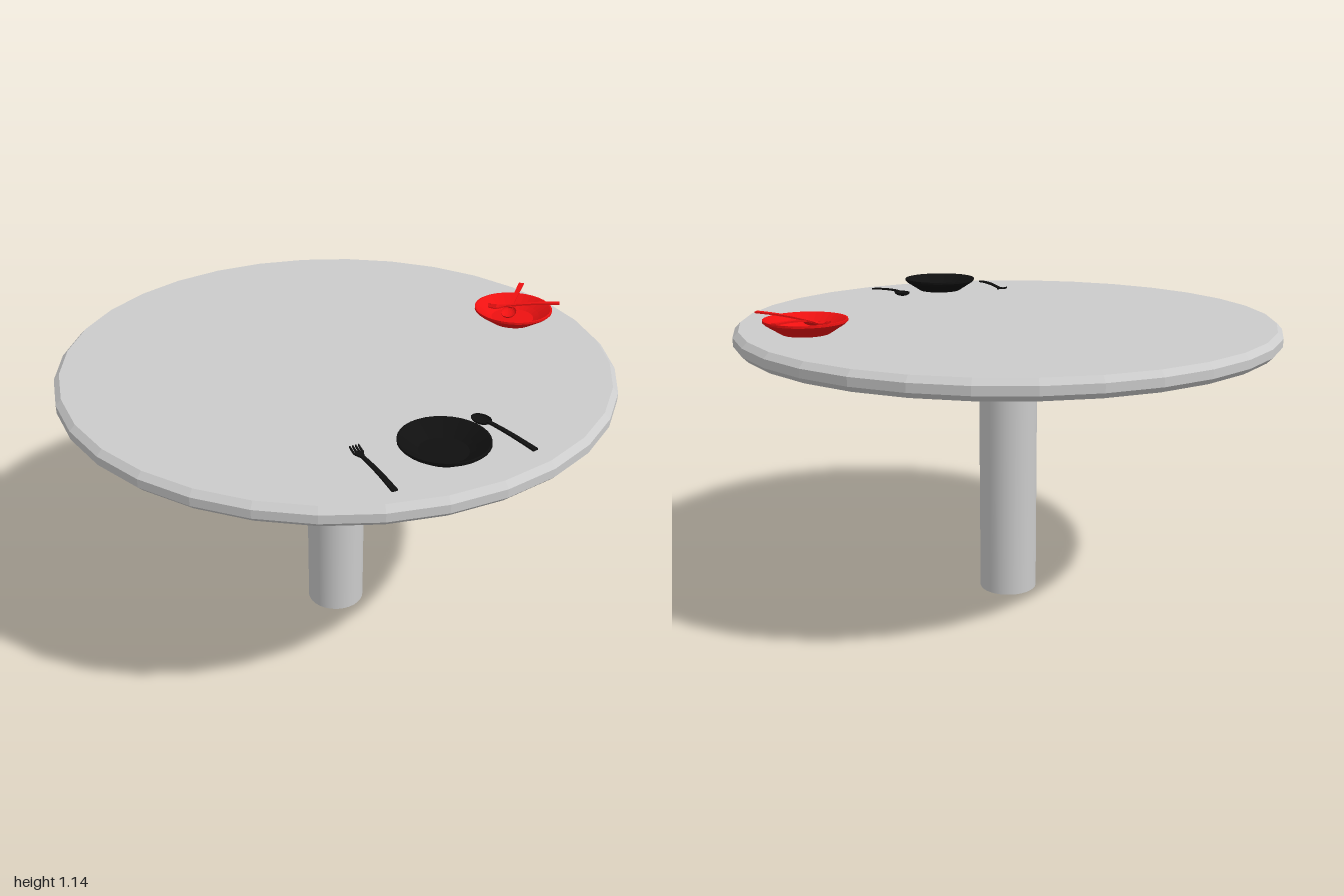
import * as THREE from 'three';

const V = (x, y) => new THREE.Vector2(x, y);
const grey = new THREE.MeshStandardMaterial({ color: 0xcccccc });
const greyFlat = new THREE.MeshStandardMaterial({ color: 0xcccccc, flatShading: true });
const paint = (color) => new THREE.MeshStandardMaterial({ color, flatShading: true, side: THREE.DoubleSide });

function add(parent, name, geometry, material) {
  const mesh = new THREE.Mesh(geometry, material);
  mesh.name = name;
  parent.add(mesh);
  return mesh;
}

// Bar running along x from x0 to x1, bent to the height rule and tapered
function bar(x0, x1, w0, w1, height, z = 0) {
  const g = new THREE.BoxGeometry(x1 - x0, 0.006, 1, 8, 1, 1);
  g.translate((x0 + x1) / 2, 0, 0);
  const p = g.attributes.position;
  for (let i = 0; i < p.count; i++) {
    const x = p.getX(i), t = (x - x0) / (x1 - x0);
    p.setY(i, p.getY(i) + height(x));
    p.setZ(i, z + p.getZ(i) * THREE.MathUtils.lerp(w0, w1, t));
  }
  g.computeVertexNormals();
  return g;
}

// Shallow dish with sloping wall and upright lip
function plate(name, material) {
  const group = new THREE.Group();
  group.name = name;
  const profile = [V(0, 0), V(0.085, 0), V(0.138, 0.034), V(0.147, 0.042), V(0.147, 0.05),
    V(0.141, 0.05), V(0.1, 0.022), V(0.08, 0.01), V(0, 0.01)];
  add(group, 'dish', new THREE.LatheGeometry(profile, 32), material);
  return group;
}

// Fork with its tips at the origin and its handle toward +x
function fork(name, material) {
  const group = new THREE.Group();
  group.name = name;
  const h = (x) => 0.005 + 0.009 * Math.max(0, 1 - x / 0.045) ** 2
    + 0.005 * Math.sin(Math.PI * THREE.MathUtils.clamp((x - 0.04) / 0.23, 0, 1));
  add(group, 'handle', bar(0.06, 0.27, 0.013, 0.02, h), material);
  add(group, 'head', bar(0.03, 0.06, 0.036, 0.013, h), material);
  for (let i = 0; i < 4; i++) {
    add(group, 'tine', bar(0, 0.032, 0.004, 0.006, h, (i - 1.5) * 0.01), material);
  }
  return group;
}

// Spoon with its bowl at the origin and its handle toward +x
function spoon(name, material) {
  const group = new THREE.Group();
  group.name = name;
  const bowl = new THREE.SphereGeometry(1, 16, 6, 0, Math.PI * 2, Math.PI / 2, Math.PI / 2);
  bowl.scale(0.038, 0.016, 0.029).translate(0.038, 0.018, 0);
  add(group, 'bowl', bowl, material);
  const h = (x) => 0.004 + 0.014 * Math.cos(Math.PI / 2 * THREE.MathUtils.clamp((x - 0.07) / 0.2, 0, 1));
  add(group, 'handle', bar(0.068, 0.27, 0.014, 0.02, h), material);
  return group;
}

// Lays cutlery from its tip toward the handle end
function lay(item, tip, end) {
  const dx = end[0] - tip[0], dy = end[1] - tip[1], dz = end[2] - tip[2];
  item.position.set(...tip);
  item.rotation.set(0, Math.atan2(-dz, dx), Math.atan2(dy, Math.hypot(dx, dz)));
  return item;
}

export function createModel() {
  const model = new THREE.Group();
  model.name = 'laidTable';
  const top = 1.07;

  // Table
  const edge = [V(0, 1), V(0.98, 1), V(1, 1.02), V(1, 1.05), V(0.98, top), V(0, top)];
  add(model, 'tableTop', new THREE.LatheGeometry(edge, 32), greyFlat);
  add(model, 'pedestal', new THREE.CylinderGeometry(0.11, 0.11, 1, 32), grey).position.y = 0.5;

  // Black setting, cutlery beside the plate
  const black = paint(0x101010);
  const blackPlate = plate('blackPlate', black);
  blackPlate.position.set(0.49, top, 0.58);
  model.add(blackPlate,
    lay(fork('blackFork', black), [0.217, top, 0.627], [0.39, top, 0.837]),
    lay(spoon('blackSpoon', black), [0.545, top, 0.34], [0.76, top, 0.495]));

  // Red setting, cutlery resting in the plate
  const red = paint(0xee1111);
  const redPlate = plate('redPlate', red);
  redPlate.position.set(0.58, top, -0.49);
  model.add(redPlate,
    lay(fork('redFork', red), [0.485, 1.1, -0.502], [0.77, 1.138, -0.525]),
    lay(spoon('redSpoon', red), [0.562, 1.085, -0.435], [0.588, 1.133, -0.705]));

  return model;
}
